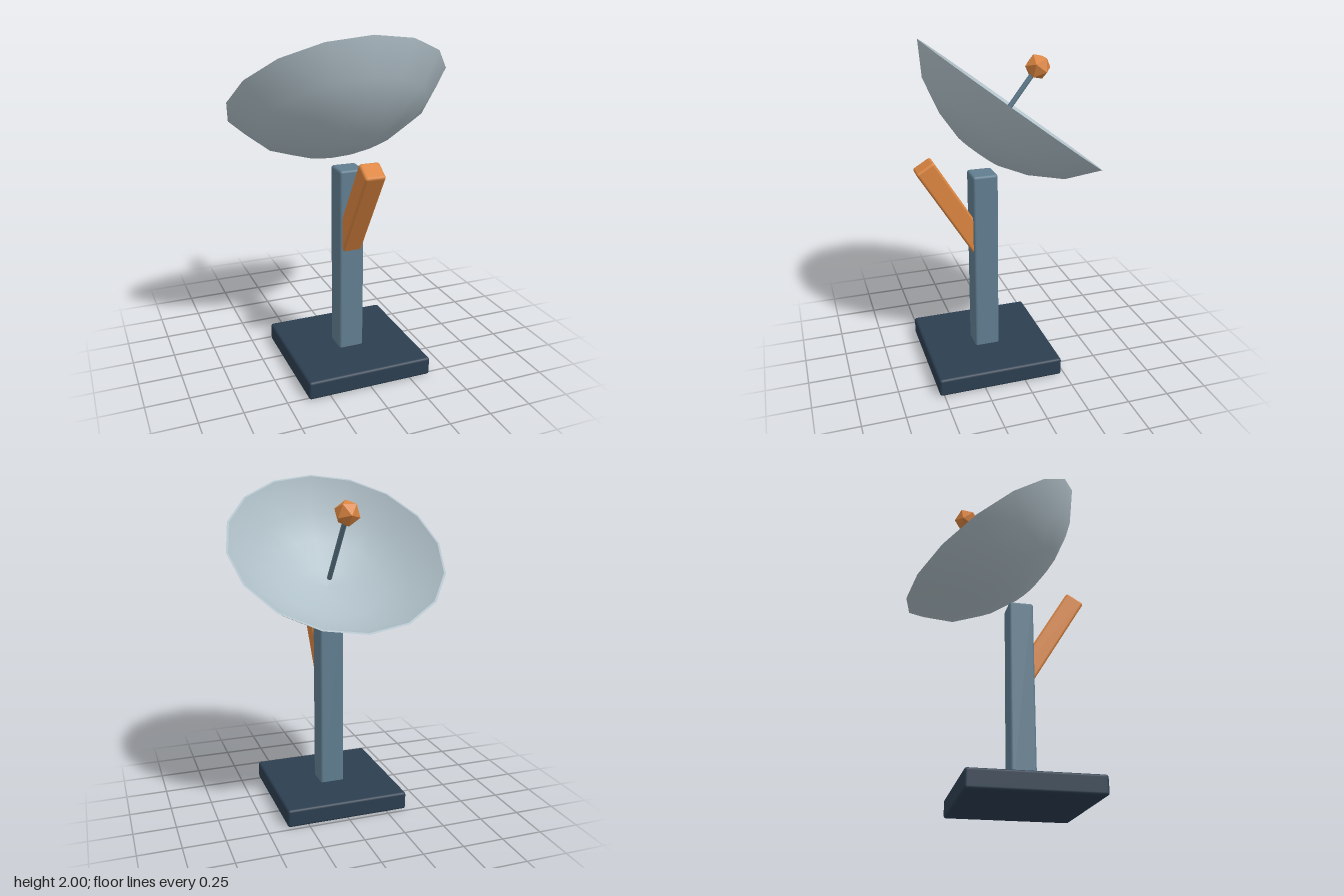
import * as THREE from 'three';
import { RoundedBoxGeometry } from 'three/addons/geometries/RoundedBoxGeometry.js';
import { mergeGeometries } from 'three/addons/utils/BufferGeometryUtils.js';

const paint = (color, flatShading = false) => new THREE.MeshStandardMaterial({ color, flatShading });

export function createModel() {
  const model = new THREE.Group();
  model.name = 'dishAntenna';
  const navy = paint(0x2c3e50), steel = paint(0x607d8f), orange = paint(0xdb8540), pale = paint(0xb0c0c8);

  const add = (parent, name, geometry, material, x, y, z) => {
    const mesh = new THREE.Mesh(geometry, material);
    mesh.name = name;
    mesh.position.set(x, y, z);
    parent.add(mesh);
    return mesh;
  };
  const block = (w, h, d) => new RoundedBoxGeometry(w, h, d, 2, 0.015);

  // Stand: square foot, post and leaning strut that ends inside the post
  add(model, 'base', block(0.755, 0.11, 0.755), navy, 0, 0.055, 0.148);
  add(model, 'post', block(0.15, 1.13, 0.15), steel, 0, 0.66, 0.149);
  const strut = add(model, 'strut', block(0.12, 0.68, 0.12), orange, 0, 1.01, 0.32);
  strut.rotation.x = 0.55;

  // Tilted head: origin at the centre of the rim, local +y along the dish axis
  const head = new THREE.Group();
  head.name = 'head';
  head.position.set(0, 1.61, -0.025);
  head.rotation.x = -0.649;
  model.add(head);

  // Dish: thin shell with smooth walls and a sharp rim
  const wall = 0.012;
  const outer = [[0, -0.333], [0.15, -0.32], [0.325, -0.262], [0.502, -0.163], [0.646, 0]]
    .map(([r, y]) => new THREE.Vector2(r, y));
  const inner = outer.map((p, i) => new THREE.Vector2(
    p.x * (1 - wall / 0.646), i === 4 ? 0 : p.y + wall)).reverse();
  const lathe = (points) => new THREE.LatheGeometry(points, 16);
  add(head, 'dish', mergeGeometries([lathe(outer), lathe([outer[4], inner[0]]), lathe(inner)]), pale, 0, 0, 0);

  // Feed rod and faceted receiver
  add(head, 'feedRod', new THREE.CylinderGeometry(0.016, 0.016, 0.5, 8), steel, 0, 0, 0);
  add(head, 'receiver', new THREE.IcosahedronGeometry(0.076, 0), paint(0xdb8540, true), 0, 0.264, 0);

  return model;
}
